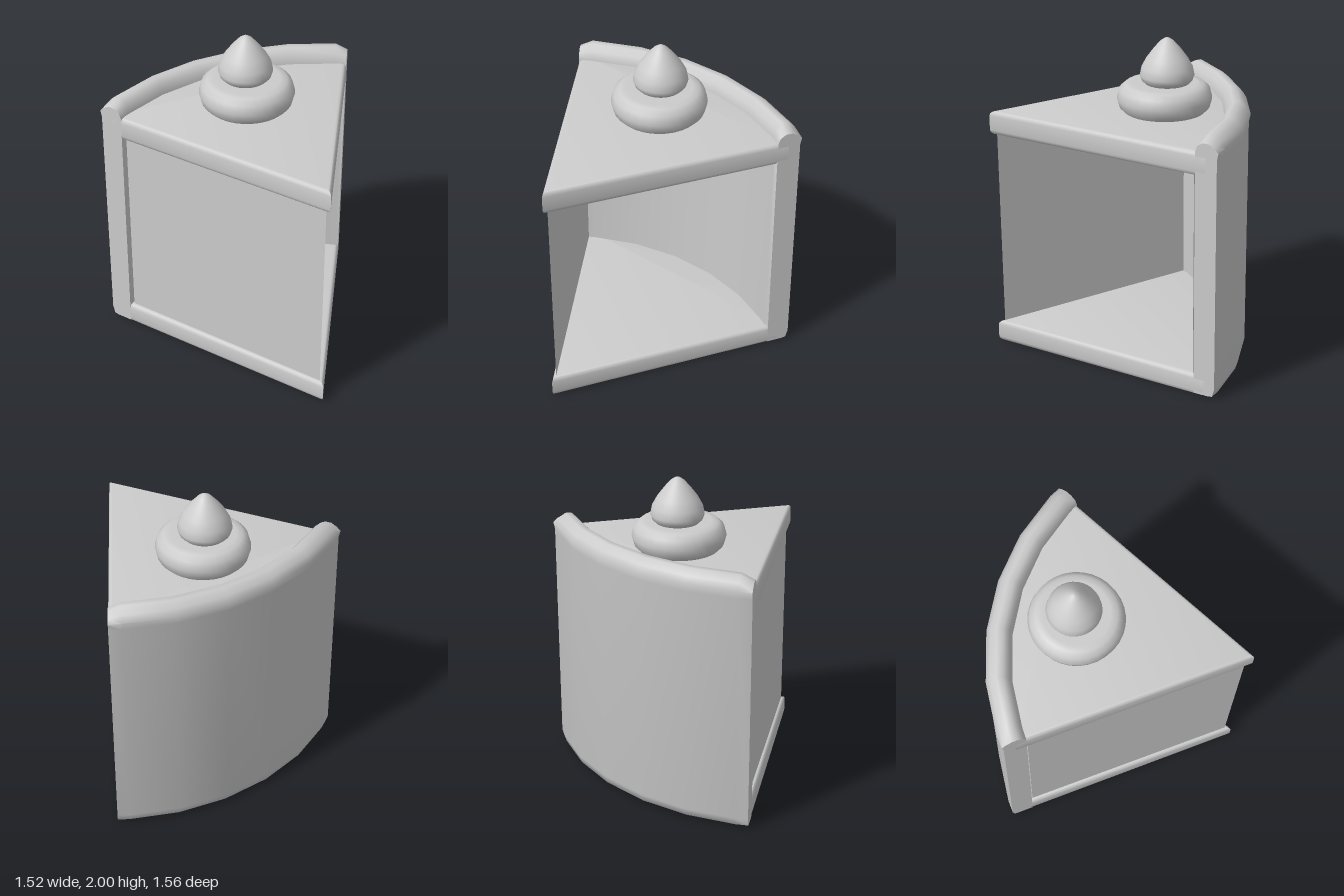
import * as THREE from 'three';
import { toCreasedNormals } from 'three/addons/utils/BufferGeometryUtils.js';

const APEX = { x: 0.76, z: 0.78 };           // tip of the slice, centre of its arc
// Angles around the tip, measured from -x; the first and last are the cuts
const ANGLES = [15.8, 18.8, 30.6, 42.3, 54.1, 65.8, 77.4, 80.2].map((d) => d * Math.PI / 180);
const LAST = ANGLES.length - 1;

function addMesh(group, name, geometry, side = THREE.FrontSide) {
  const mesh = new THREE.Mesh(geometry, new THREE.MeshStandardMaterial({ color: 0xcccccc, side }));
  mesh.name = name;
  group.add(mesh);
  return mesh;
}

// Point [x, z] at a radius and angle around the tip
const around = (radius, a) => [APEX.x - radius * Math.cos(a), APEX.z - radius * Math.sin(a)];

function indexedGeometry(positions, index) {
  const geo = new THREE.BufferGeometry();
  geo.setAttribute('position', new THREE.Float32BufferAttribute(positions, 3));
  geo.setIndex(index);
  return geo;
}

// Wedge-shaped slab with rounded edges
function slabGeometry(height) {
  const bevel = 0.03;
  const outline = [[APEX.x, APEX.z], ...ANGLES.map((a) => around(1.5, a))];
  const shape = new THREE.Shape(outline.map(([x, z]) => new THREE.Vector2(x, -z)));
  const geo = new THREE.ExtrudeGeometry(shape, {
    depth: height - 2 * bevel, bevelEnabled: true, bevelThickness: bevel,
    bevelSize: bevel, bevelOffset: -bevel, bevelSegments: 3,
  });
  geo.translate(0, 0, bevel);
  geo.rotateX(-Math.PI / 2);
  return toCreasedNormals(geo, 0.8);
}

// Thin sheet along the left cut and the curved back, open on the right cut
function sheetGeometry(y0, y1) {
  const inset = ANGLES.map((a) => THREE.MathUtils.clamp(a, ANGLES[0] + 0.02, ANGLES[LAST] - 0.01));
  const path = [[0.73, 0.75], ...inset.map((a) => around(1.42, a))];
  const n = path.length;
  const positions = [], index = [];
  for (const y of [y0, y1]) for (const [x, z] of path) positions.push(x, y, z);
  for (let i = 0; i < n - 1; i++) index.push(i, i + 1, n + i + 1, i, n + i + 1, n + i);
  return toCreasedNormals(indexedGeometry(positions, index), 0.6);
}

// Cross-section [radius, y] of the back icing: outer side up, rim, inner side down
const SECTION = [
  [1.43, 0], [1.53, 0], [1.56, 0.02], [1.575, 0.07], [1.575, 1.52], [1.585, 1.57], [1.56, 1.61],
  [1.52, 1.645], [1.48, 1.645], [1.445, 1.61], [1.43, 1.55], [1.43, 0],
];
// The cut ends are pulled in a little at rim and foot
const END = SECTION.map(([r, y]) => [
  1.505 + (r - 1.505) * 0.97, THREE.MathUtils.clamp(y, 0.015, 1.55 + Math.max(0, y - 1.55) * 0.6),
]);

function backGeometry() {
  const m = SECTION.length;
  const positions = [], index = [];
  ANGLES.forEach((a, i) => {
    for (const [r, y] of i === 0 || i === LAST ? END : SECTION) {
      const [x, z] = around(r, a);
      positions.push(x, y, z);
    }
    if (i === LAST) return;
    for (let j = 0; j < m - 1; j++) {
      const p = i * m + j;
      index.push(p, p + 1, p + m + 1, p, p + m + 1, p + m);
    }
  });
  return toCreasedNormals(indexedGeometry(positions, index), 1);
}

const profile = (pts) => pts.map(([r, y]) => new THREE.Vector2(r, y));

export function createModel() {
  const group = new THREE.Group();
  group.name = 'cakeSlice';

  // Icing layers
  addMesh(group, 'bottomIcing', slabGeometry(0.14));
  addMesh(group, 'topIcing', slabGeometry(0.15)).position.y = 1.4;

  // Curved back icing with a raised rounded rim
  addMesh(group, 'backIcing', backGeometry());

  // Cut ends of the back icing
  for (const [name, angle] of [['backIcingLeftEnd', ANGLES[0]], ['backIcingRightEnd', ANGLES[LAST]]]) {
    const cap = new THREE.ShapeGeometry(new THREE.Shape(profile(END.slice(0, -1))));
    cap.rotateY(Math.PI - angle);
    cap.translate(APEX.x, 0, APEX.z);
    addMesh(group, name, cap, THREE.DoubleSide);
  }

  // Sponge sheet between the icing layers
  addMesh(group, 'sponge', sheetGeometry(0.13, 1.41), THREE.DoubleSide);

  // Cream swirl: a flattened ring with a pointed drop on top
  const cream = new THREE.LatheGeometry(profile([
    [0, 1.54], [0.24, 1.54], [0.275, 1.575], [0.29, 1.63], [0.275, 1.685],
    [0.24, 1.715], [0.2, 1.72], [0, 1.72],
  ]), 32);
  addMesh(group, 'creamBase', cream).position.set(0.045, 0, -0.01);

  const drop = new THREE.LatheGeometry(profile([
    [0, 1.71], [0.13, 1.715], [0.155, 1.74], [0.165, 1.77], [0.155, 1.82],
    [0.125, 1.875], [0.08, 1.935], [0.04, 1.98], [0.015, 1.997], [0, 2],
  ]), 32);
  addMesh(group, 'creamDrop', drop).position.set(0.033, 0, -0.02);

  return group;
}
